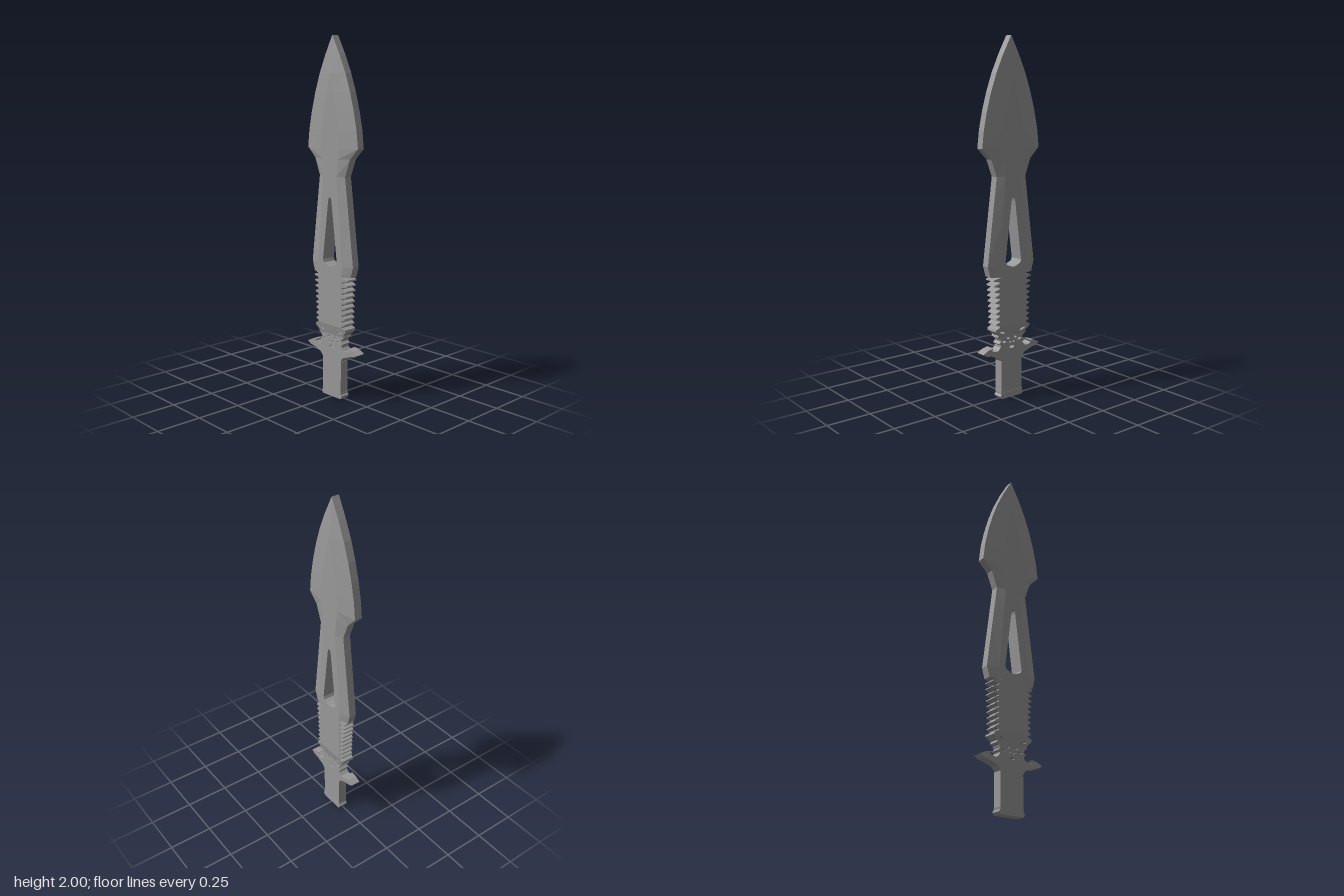
import * as THREE from 'three';

const material = new THREE.MeshStandardMaterial({ color: 0x999999, flatShading: true });

// Piecewise linear lookup in [y, value] pairs sorted by y
function lookup(pairs, y) {
  if (y <= pairs[0][0]) return pairs[0][1];
  for (let i = 1; i < pairs.length; i++) {
    const [y0, a] = pairs[i - 1], [y1, b] = pairs[i];
    if (y <= y1) return a + (b - a) * (y - y0) / (y1 - y0);
  }
  return pairs[pairs.length - 1][1];
}

// Outer edge half width: grip teeth first, then the waist and the leaf-shaped head
const edge = [];
const TEETH = 9, PITCH = 0.031, GRIP = 0.42;
for (let i = 0; i < TEETH; i++) {
  const y = GRIP + i * PITCH, tip = 0.117 + 0.016 * (i / (TEETH - 1)) ** 2;
  edge.push([y, 0.096], [y + 0.008, 0.094], [y + 0.015, tip], [y + 0.022, tip - 0.003]);
}
edge.push([0.699, 0.096], [0.705, 0.145], [0.765, 0.162], [1.25, 0.1], [1.345, 0.137], [1.403, 0.196],
  [1.5, 0.185], [1.6, 0.164], [1.7, 0.136], [1.8, 0.1], [1.9, 0.054], [2, 0]);
// Half width of the flat between the bevels
const ridge = [[0.42, 0.085], [0.7, 0.088], [0.765, 0.096], [1.25, 0.052], [1.345, 0.062],
  [1.403, 0.072], [1.5, 0.068], [1.6, 0.049], [1.8, 0], [2, 0]];
// Half width of the slot
const slot = [[0.75, 0], [0.758, 0.025], [0.768, 0.047], [0.785, 0.055], [1.115, 0.013], [1.13, 0.008], [1.135, 0]];
// Half thickness on the flat
const flatZ = [[0.42, 0.042], [1, 0.041], [1.8, 0.04], [2, 0.022]];

function bladeGeometry() {
  const ys = [...new Set([edge, ridge, slot, flatZ].flat().map(p => p[0]))].sort((a, b) => a - b);
  const section = y => {
    const e = lookup(edge, y), r = lookup(ridge, y), s = lookup(slot, y), z = lookup(flatZ, y);
    const ez = y < 0.7 ? 0.042 - (e - 0.085) * 0.15 : 0.022;
    return [[s, y, z], [r, y, z], [e, y, ez], [e, y, -ez], [r, y, -z], [s, y, -z]];
  };
  const pos = [];
  const tri = (a, b, c) => {
    pos.push(...a, ...b, ...c);
    for (const p of [a, c, b]) pos.push(-p[0], p[1], p[2]);
  };
  for (let k = 0; k < ys.length - 1; k++) {
    const a = section(ys[k]), b = section(ys[k + 1]);
    for (let i = 0; i < 6; i++) {
      if (i === 5 && a[0][0] + b[0][0] === 0) continue; // no wall outside the slot
      const j = (i + 1) % 6;
      tri(a[i], a[j], b[j]);
      tri(a[i], b[j], b[i]);
    }
  }
  const geometry = new THREE.BufferGeometry();
  geometry.setAttribute('position', new THREE.Float32BufferAttribute(pos, 3));
  geometry.computeVertexNormals();
  return geometry;
}

// Closed shape from its right half (bottom to top), with elliptical holes [x, y, rx, ry, tilt]
function mirroredShape(half, holes = []) {
  const left = half.map(([x, y]) => [-x, y]).reverse();
  const shape = new THREE.Shape([...half, ...left].map(p => new THREE.Vector2(...p)));
  for (const [x, y, rx, ry, tilt] of holes) {
    const path = new THREE.Path();
    path.absellipse(x, y, rx, ry, 0, Math.PI * 2, true, tilt);
    shape.holes.push(path);
  }
  return shape;
}

function extrude(shape, depth) {
  return new THREE.ExtrudeGeometry(shape, { depth, bevelEnabled: false, curveSegments: 5 })
    .translate(0, 0, -depth / 2);
}

// Winged guard, pierced by small holes
function guardGeometry() {
  const holes = [[0, 0.292, 0.018, 0.008, 0]];
  for (const s of [1, -1]) {
    holes.push([s * 0.054, 0.33, 0.014, 0.006, s * 0.2], [s * 0.026, 0.346, 0.009, 0.006, 0],
      [s * 0.012, 0.322, 0.007, 0.005, 0]);
  }
  return extrude(mirroredShape([
    [0.07, 0.218], [0.09, 0.243], [0.145, 0.263], [0.175, 0.268], [0.2, 0.282], [0.165, 0.3], [0.13, 0.306],
    [0.14, 0.294], [0.12, 0.283], [0.097, 0.284], [0.08, 0.3], [0.078, 0.312], [0.09, 0.322], [0.076, 0.335],
    [0.083, 0.35], [0.1, 0.36]], holes), 0.056);
}

// Neck between guard and blade, thickening upward
function neckGeometry() {
  const holes = [1, -1].map(s => [s * 0.07, 0.386, 0.02, 0.006, s * 0.25]);
  const geometry = extrude(mirroredShape(
    [[0.1, 0.36], [0.095, 0.372], [0.122, 0.398], [0.119, 0.41], [0.096, 0.42]], holes), 2);
  const p = geometry.attributes.position;
  for (let i = 0; i < p.count; i++) {
    p.setZ(i, p.getZ(i) * THREE.MathUtils.mapLinear(p.getY(i), 0.36, 0.42, 0.028, 0.042));
  }
  geometry.computeVertexNormals();
  return geometry;
}

export function createModel() {
  const group = new THREE.Group();
  const add = (name, geometry) => {
    const mesh = new THREE.Mesh(geometry, material);
    mesh.name = name;
    group.add(mesh);
  };
  add('blade', bladeGeometry());
  add('neck', neckGeometry());
  add('guard', guardGeometry());
  // Handle with a chamfered end
  add('handle', extrude(mirroredShape([[0.073, 0.036], [0.073, 0.218]]), 0.053));
  add('pommel', extrude(mirroredShape([[0.07, 0], [0.08, 0.012], [0.08, 0.018], [0.072, 0.026], [0.075, 0.036]]), 0.056));
  return group;
}
